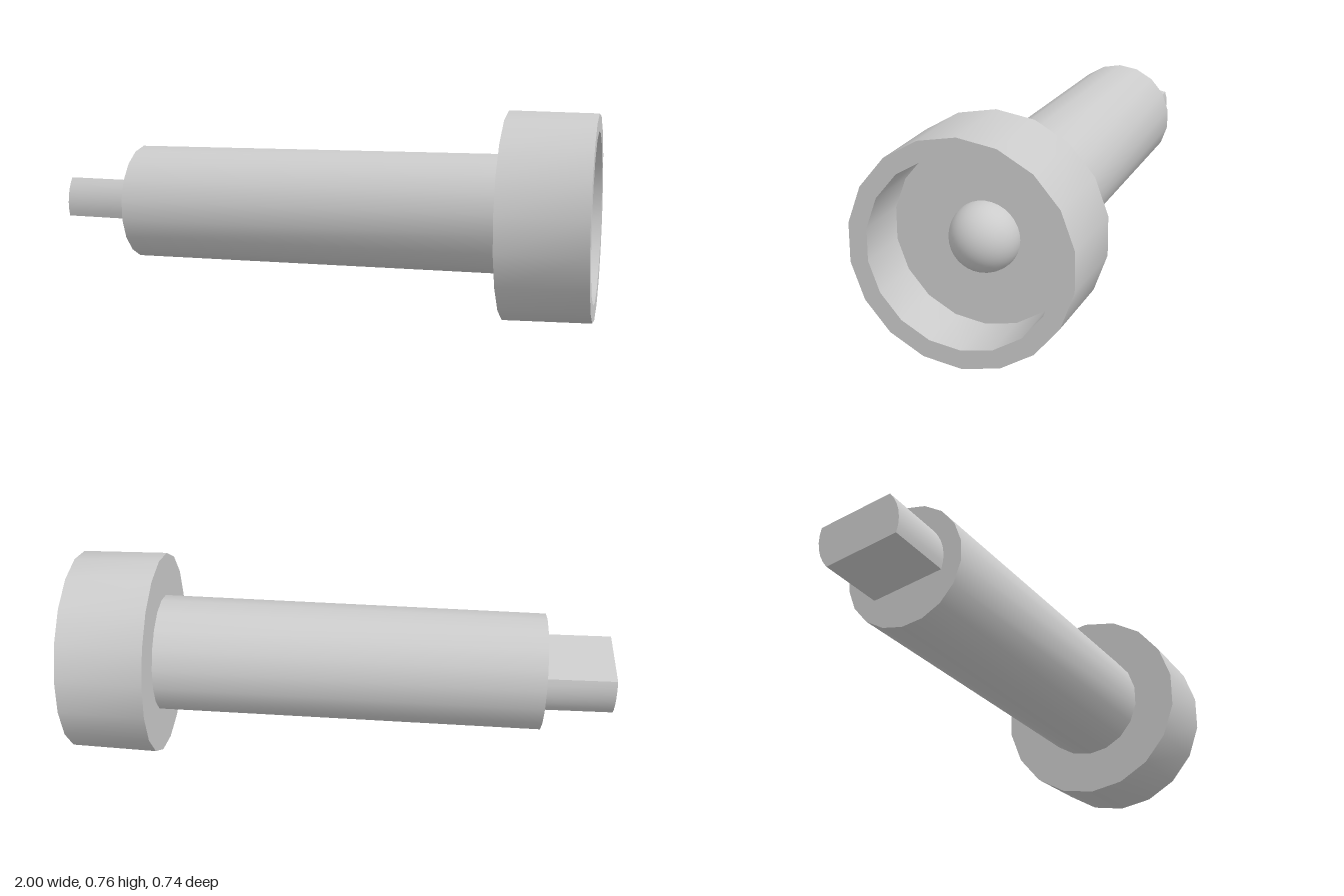
import * as THREE from 'three';
import { toCreasedNormals } from 'three/addons/utils/BufferGeometryUtils.js';

const SIDES = 18;
const TILT = 0.016; // the shaft and cup rise slightly towards +x

export function createModel() {
  const group = new THREE.Group();
  const material = new THREE.MeshStandardMaterial({ color: 0xcccccc });

  const add = (name, geometry, x, y, z = 0) => {
    const mesh = new THREE.Mesh(geometry, material);
    mesh.name = name;
    mesh.position.set(x, y, z);
    group.add(mesh);
    return mesh;
  };

  // Turned part lying along x; profile points are [radius, distance along axis]
  const turned = (profile) => {
    const points = profile.map(([r, d]) => new THREE.Vector2(r, d));
    const lathe = new THREE.LatheGeometry(points, SIDES, Math.PI / 2);
    return toCreasedNormals(lathe, 0.6).rotateZ(-Math.PI / 2 + TILT);
  };

  // Long round shaft
  add('shaft', turned([[0, -0.742], [0.2175, -0.742], [0.2175, 0.7], [0, 0.7]]), 0, 0.372, -0.003);

  // Hollow cup, tapering slightly to its open end
  add('cup', turned([
    [0, -0.157], [0.378, -0.157], [0.371, 0.157],
    [0.309, 0.157], [0.309, -0.045], [0, -0.045],
  ]), 0.837, 0.382);

  // Dome on the cup floor
  const dome = new THREE.SphereGeometry(0.117, 32, 16, 0, Math.PI * 2, 0, Math.PI / 2);
  dome.rotateZ(-Math.PI / 2 + TILT);
  add('dome', dome, 0.79, 0.376, -0.004);

  // Drive tang: a round bar with two flats, turned a little about its axis
  const half = Math.PI / 6;
  const section = new THREE.Shape();
  section.absarc(0, 0, 0.149, -half, half, false);
  section.absarc(0, 0, 0.149, Math.PI - half, Math.PI + half, false);
  section.closePath();
  const bar = new THREE.ExtrudeGeometry(section, { depth: 0.27, bevelEnabled: false, curveSegments: 3 });
  const tang = add('tang', toCreasedNormals(bar.rotateY(Math.PI / 2), 0.6), -1, 0.36, -0.002);
  tang.rotation.x = -0.2;

  return group;
}
